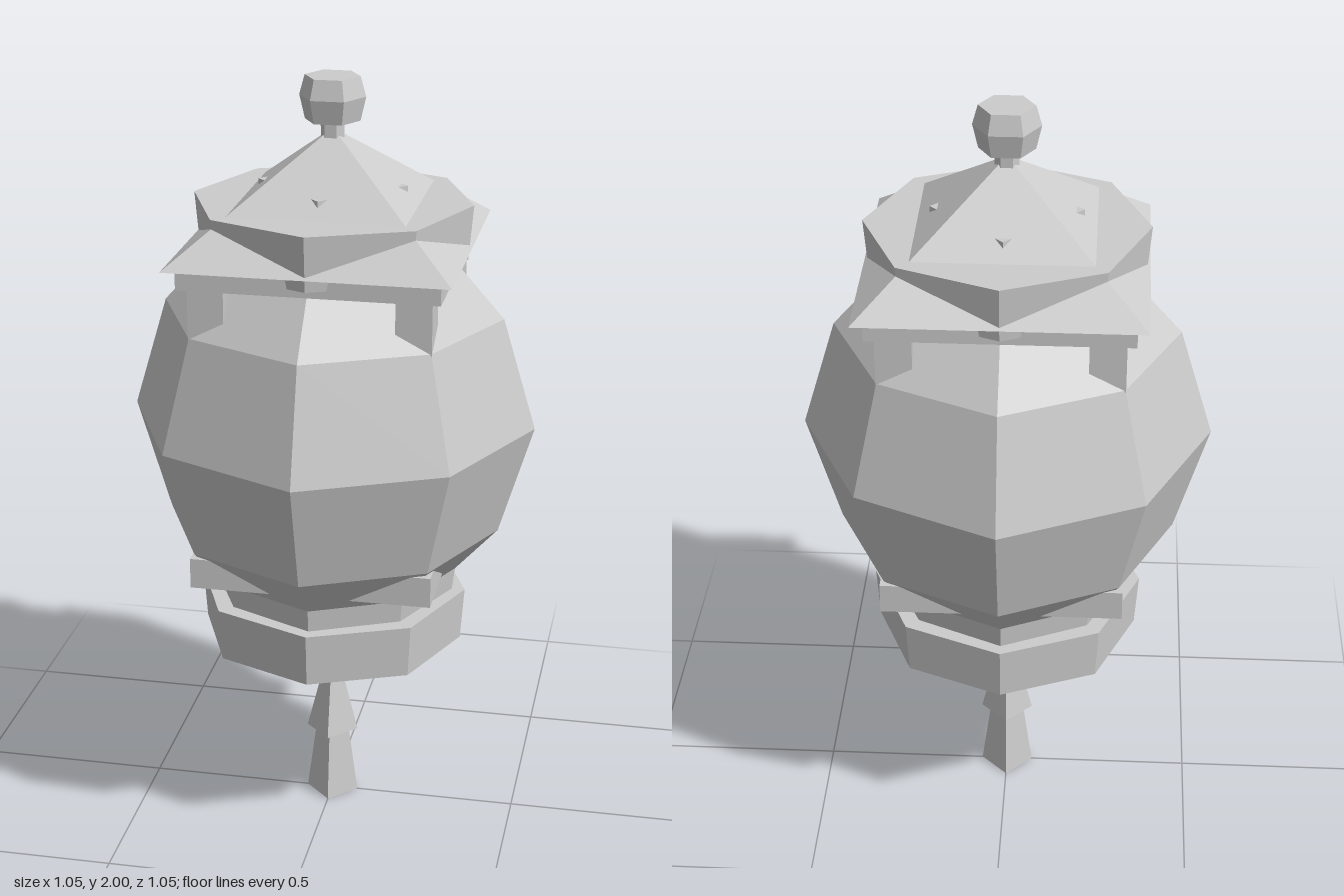
import * as THREE from 'three';

const stone = new THREE.MeshStandardMaterial({ color: 0xcccccc });
stone.name = 'grey stone';

export function createModel() {
  const group = new THREE.Group();

  // Adds a faceted part with one normal per face
  function add(name, geometry) {
    const flat = geometry.index ? geometry.toNonIndexed() : geometry;
    flat.computeVertexNormals();
    const mesh = new THREE.Mesh(flat, stone);
    mesh.name = name;
    group.add(mesh);
    return mesh;
  }

  // Tapered prism between two heights
  function prism(name, rBottom, rTop, y0, y1, sides, turn = 0) {
    const g = new THREE.CylinderGeometry(rTop, rBottom, y1 - y0, sides, 1, false, turn);
    g.translate(0, (y0 + y1) / 2, 0);
    return add(name, g);
  }

  // Square block centred on (x, z)
  function block(name, half, y0, y1, x = 0, z = 0) {
    const g = new THREE.BoxGeometry(half * 2, y1 - y0, half * 2);
    g.translate(x, (y0 + y1) / 2, z);
    return add(name, g);
  }

  // Eight-sided lantern body, slightly pulled in on the diagonals
  const profile = [
    [0.32, 0.62], [0.33, 0.7], [0.44, 0.82], [0.527, 1.11], [0.44, 1.4], [0.32, 1.535],
  ].map(([r, y]) => new THREE.Vector2(r, y));
  const body = new THREE.LatheGeometry(profile, 8);
  const p = body.attributes.position;
  for (let i = 0; i < p.count; i++) {
    const x = p.getX(i), z = p.getZ(i);
    if (Math.abs(x) > 0.01 && Math.abs(z) > 0.01) p.setXYZ(i, x * 0.966, p.getY(i), z * 0.966);
  }
  add('body', body);

  // Base
  block('lowerPlate', 0.31, 0.73, 0.81);
  prism('baseRing', 0.347, 0.357, 0.5, 0.64, 8);
  prism('bottomPlate', 0.215 * Math.SQRT2, 0.225 * Math.SQRT2, 0.487, 0.502, 4, Math.PI / 4);

  // Brackets under the eaves
  for (const sx of [-1, 1]) {
    for (const sz of [-1, 1]) block('bracket', 0.045, 1.39, 1.53, sx * 0.257, sz * 0.257);
  }

  // Roof
  block('eaveSlab', 0.325, 1.53, 1.582);
  prism('roof', 0.355 * Math.SQRT2, 0, 1.582, 1.87, 4, Math.PI / 4);
  prism('crownRing', 0.345, 0.357, 1.55, 1.69, 8);
  prism('roofPost', 0.19, 0.19, 1.6, 1.732, 4);

  // Finial
  prism('finialStem', 0.03, 0.03, 1.84, 1.895, 6, Math.PI / 2);
  prism('finialLower', 0.07, 0.084, 1.89, 1.95, 6, Math.PI / 2);
  prism('finialUpper', 0.084, 0.07, 1.95, 2, 6, Math.PI / 2);

  // Hanging tassel
  prism('tasselTop', 0.07, 0.02, 0.19, 0.39, 4);
  prism('tasselSkirt', 0.07, 0.045, 0, 0.19, 4);

  return group;
}
